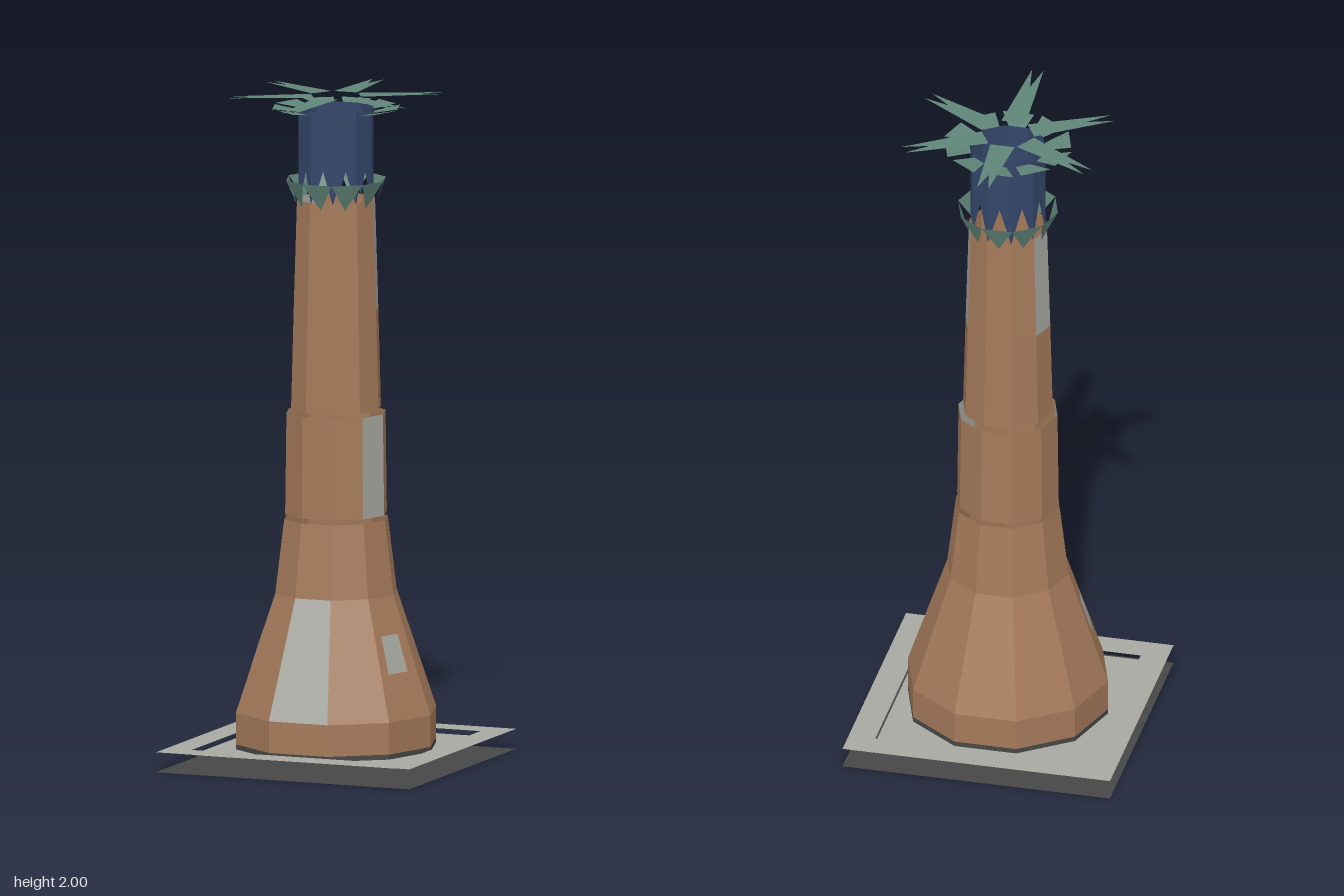
import * as THREE from 'three';

const SIDES = 10;
const STEP = (Math.PI * 2) / SIDES;

function material(name, color) {
  const m = new THREE.MeshStandardMaterial({ color, flatShading: true, side: THREE.DoubleSide });
  m.name = name;
  return m;
}

// point on the ten-sided tower; k counts corners and may be fractional
const corner = (k, r, y) => new THREE.Vector3(r * Math.cos(k * STEP), y, r * Math.sin(k * STEP));

// point on the straight edge between corner i and corner i + 1
const onEdge = (i, u, r, y) => corner(i, r, y).lerp(corner(i + 1, r, y), u);

// flat polygons, each given as a ring of points and cut into a fan
function polygons(rings) {
  const points = [];
  for (const ring of rings) {
    for (let i = 1; i < ring.length - 1; i++) points.push(ring[0], ring[i], ring[i + 1]);
  }
  const g = new THREE.BufferGeometry().setFromPoints(points);
  g.computeVertexNormals();
  return g;
}

// one side of a band, running from radius r0 at y0 to radius r1 at y1
const facet = (i, [r0, y0], [r1, y1], u0 = 0, u1 = 1) => [
  onEdge(i, u1, r0, y0), onEdge(i, u0, r0, y0), onEdge(i, u0, r1, y1), onEdge(i, u1, r1, y1),
];

function squareShape(h) {
  return new THREE.Shape([[-h, -h], [h, -h], [h, h], [-h, h]].map(([x, y]) => new THREE.Vector2(x, y)));
}

export function createModel() {
  const model = new THREE.Group();
  model.name = 'tower';

  const brown = material('brown wall', 0xa57a5a);
  const grey = material('light grey', 0xa8a8a2);
  const dark = material('dark grey', 0x474747);
  const green = material('weathered green', 0x5f8578);
  const navy = material('navy', 0x34466b);

  const add = (name, geometry, mat, parent = model) => {
    const mesh = new THREE.Mesh(geometry, mat);
    mesh.name = name;
    parent.add(mesh);
    return mesh;
  };
  const all = [...Array(SIDES).keys()];

  // plinth: dark slab face, raised rim and sunken floor
  const plate = (name, shape, y, mat) => {
    const g = new THREE.ShapeGeometry(shape);
    g.rotateX(-Math.PI / 2);
    g.translate(0, y, 0);
    add(name, g, mat);
  };
  const rim = squareShape(0.408);
  rim.holes.push(squareShape(0.327));
  plate('plinthBottom', squareShape(0.408), 0, dark);
  plate('plinthRim', rim, 0.06, grey);
  plate('plinthFloor', squareShape(0.327), 0.045, grey);

  // tower bands, with the sides that are grey panels
  const bands = [
    { name: 'footing', from: [0.305, 0.045], to: [0.305, 0.06], mat: dark },
    { name: 'baseWall', from: [0.305, 0.06], to: [0.305, 0.155], mat: brown },
    { name: 'flaredWall', from: [0.305, 0.155], to: [0.185, 0.51], mat: brown, panels: [2] },
    { name: 'lowerShaft', from: [0.185, 0.51], to: [0.158, 0.732], mat: brown },
    { name: 'middleShaft', from: [0.155, 0.746], to: [0.151, 1.05], mat: brown, panels: [0, 4] },
    { name: 'upperShaft', from: [0.137, 1.062], to: [0.129, 1.36], mat: brown },
    { name: 'topShaft', from: [0.129, 1.36], to: [0.119, 1.69], mat: brown, panels: [5, 9] },
  ];
  for (const { name, from, to, mat, panels = [] } of bands) {
    const group = new THREE.Group();
    group.name = name;
    model.add(group);
    const plain = all.filter((i) => !panels.includes(i));
    add(name + 'Sides', polygons(plain.map((i) => facet(i, from, to))), mat, group);
    if (panels.length) {
      add(name + 'Panels', polygons(panels.map((i) => facet(i, from, to))), grey, group);
    }
  }

  // small windows lying just above the flared wall, one on each flank
  const low = [0.2615, 0.29];
  const high = [0.2245, 0.4];
  add('windows', polygons([facet(0, low, high, 0.27, 0.8), facet(4, low, high, 0.2, 0.73)]), grey);

  // lantern: side sheets, each with a pointed notch at the bottom
  const lantern = [];
  for (const i of all) {
    const r = 0.114;
    const apex = onEdge(i, 0.5, r, 1.8);
    const [b1, b0, t0, t1] = facet(i, [r, 1.685], [r, 1.963]);
    lantern.push([apex, b0, t0], [apex, t0, t1], [apex, t1, b1]);
  }
  add('lantern', polygons(lantern), navy);

  // collar: flared teeth pointing down
  add('collar', polygons(all.map((i) => [
    onEdge(i, 0.5, 0.122, 1.67), corner(i, 0.152, 1.75), corner(i + 1, 0.152, 1.75),
  ])), green);

  // crown: nearly flat flaps narrowing inward
  add('crown', polygons(all.map((i) =>
    facet(i, [0.118, 1.952], [0.195, 1.965], 0.2, 0.8))), green);
  add('crownEdge', polygons(all.map((i) => [
    onEdge(i, 0.2, 0.118, 1.952), corner(i, 0.195, 1.965), onEdge(i, 0.2, 0.195, 1.965),
  ])), green);

  // six pairs of crossing flat spikes, the front pair being longer
  const spikes = new THREE.Group();
  spikes.name = 'spikes';
  model.add(spikes);
  for (let k = 0; k < 6; k++) {
    const reach = k === 0 ? 0.383 : 0.326;
    const pair = [-1, 1].map((s) => [
      new THREE.Vector3(-0.037, 0, 0.071),
      new THREE.Vector3(0.037, 0, 0.071),
      new THREE.Vector3(s * 0.0175, 0, reach),
    ].reverse());
    const mesh = add('spikePair', polygons(pair), green, spikes);
    mesh.position.y = 2;
    mesh.rotation.y = (k * Math.PI) / 3;
    // the spike faces look up
    mesh.geometry.scale(-1, 1, 1);
    mesh.geometry.computeVertexNormals();
  }

  return model;
}
